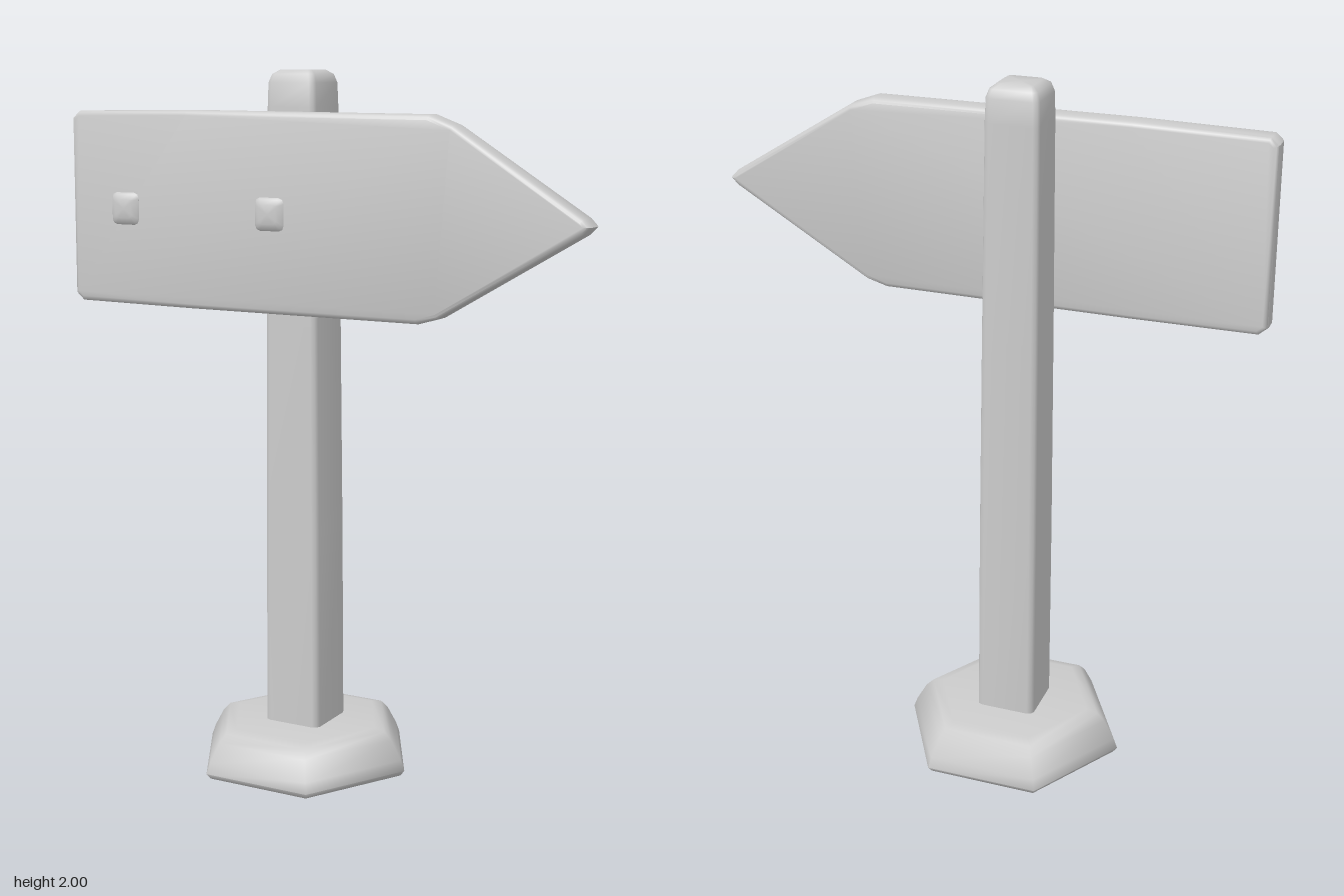
import * as THREE from 'three';
import { mergeVertices, toCreasedNormals } from 'three/addons/utils/BufferGeometryUtils.js';

const stone = new THREE.MeshStandardMaterial({ color: 0xcccccc });
stone.name = 'light grey';

// Stacks scaled copies of a counter-clockwise outline along +z; levels are [z, scale].
function loft(outline, levels, crease) {
  const n = outline.length;
  const pos = [];
  const index = [];
  for (const [z, s] of levels) for (const [x, y] of outline) pos.push(x * s, y * s, z);
  for (let l = 0; l < levels.length - 1; l++) {
    for (let i = 0; i < n; i++) {
      const a = l * n + i;
      const b = l * n + (i + 1) % n;
      index.push(a, b, b + n, a, b + n, a + n);
    }
  }
  const last = (levels.length - 1) * n;
  pos.push(0, 0, levels[0][0], 0, 0, levels[levels.length - 1][0]);
  const low = levels.length * n;
  for (let i = 0; i < n; i++) {
    const j = (i + 1) % n;
    index.push(low, j, i, low + 1, last + i, last + j);
  }
  const g = new THREE.BufferGeometry();
  g.setAttribute('position', new THREE.Float32BufferAttribute(pos, 3));
  g.setIndex(index);
  return toCreasedNormals(g, crease);
}

// Square of half width 1 with softened corners.
function softSquare(r) {
  const pts = [];
  for (let q = 0; q < 4; q++) {
    for (let k = 0; k < 3; k++) {
      const a = (q + k / 2) * Math.PI / 2;
      const cx = q === 0 || q === 3 ? 1 - r : r - 1;
      const cy = q < 2 ? 1 - r : r - 1;
      pts.push([cx + r * Math.cos(a), cy + r * Math.sin(a)]);
    }
  }
  return pts;
}

function add(group, name, geometry, x, y, z) {
  const m = new THREE.Mesh(geometry, stone);
  m.name = name;
  m.position.set(x, y, z);
  group.add(m);
}

export function createModel() {
  const group = new THREE.Group();
  group.name = 'signpost';
  const postX = -0.125;

  // Six-sided foot with sloping sides and a rounded rim
  const hex = [[0.325, 0], [0.163, 0.29], [-0.163, 0.29], [-0.325, 0], [-0.163, -0.29], [0.163, -0.29]];
  const foot = loft(hex, [[0.004, 0.96], [0.02, 1], [0.05, 0.965], [0.105, 0.87], [0.128, 0.8], [0.135, 0.7]], 1.1);
  add(group, 'foot', foot.rotateX(-Math.PI / 2), postX, 0, 0);

  // Slightly tapering square post with a softened top
  const post = loft(softSquare(0.2), [[0.1, 0.087], [0.7, 0.085], [1.3, 0.081], [1.9, 0.076],
    [1.965, 0.074], [1.988, 0.066], [2, 0.048]], 0.9);
  add(group, 'post', post.rotateX(-Math.PI / 2), postX, 0, 0);

  // Arrow-shaped board with bevelled edges
  const arrow = new THREE.Shape([[-0.79, 1.365], [-0.765, 1.343], [-0.4, 1.34], [0.31, 1.34], [0.37, 1.357],
    [0.77, 1.592], [0.79, 1.613], [0.77, 1.634], [0.41, 1.86], [0.34, 1.886], [-0.4, 1.89], [-0.765, 1.885],
    [-0.787, 1.865]].map(([x, y]) => new THREE.Vector2(x, y)));
  const bevel = 0.018;
  const board = new THREE.ExtrudeGeometry(arrow, {
    depth: 0.075 - 2 * bevel, bevelEnabled: true, bevelThickness: bevel,
    bevelSize: 0.014, bevelOffset: -0.014, bevelSegments: 3,
  });
  board.deleteAttribute('uv');
  board.deleteAttribute('normal');
  add(group, 'arrowBoard', toCreasedNormals(mergeVertices(board), 0.75), 0, 0, 0.1 + bevel);

  // Two pillow-shaped pegs in front of the board
  const peg = loft(softSquare(0.35), [[0, 0.03], [0.006, 0.041], [0.012, 0.045], [0.018, 0.04], [0.024, 0.026]], 1.1);
  for (const x of [-0.595, -0.125]) add(group, 'peg', peg, x, 1.615, 0.177);

  return group;
}
